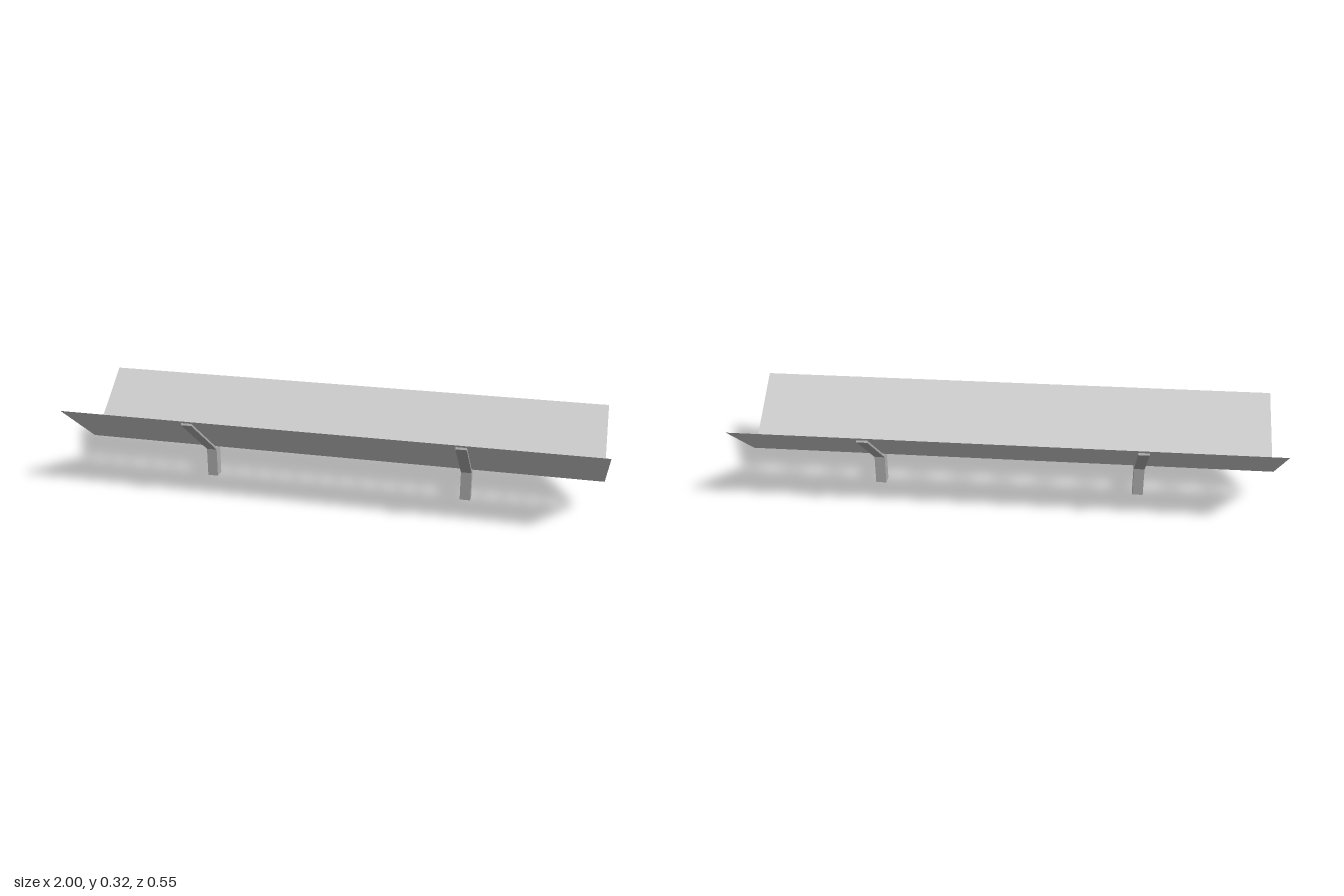
import * as THREE from 'three';

export function createModel() {
  const model = new THREE.Group();
  const panelGrey = new THREE.MeshStandardMaterial({ color: 0xd0d0d0, side: THREE.DoubleSide });
  panelGrey.name = 'panel light grey';
  const frameGrey = new THREE.MeshStandardMaterial({ color: 0xb0b0b0 });
  frameGrey.name = 'frame grey';

  const tilt = THREE.MathUtils.degToRad(38);
  const slope = 0.32; // length of an arm or panel up the slope

  function add(name, geometry, material, parent, x, y, z) {
    const mesh = new THREE.Mesh(geometry, material);
    mesh.name = name;
    mesh.position.set(x, y, z);
    parent.add(mesh);
    return mesh;
  }

  const postGeometry = new THREE.BoxGeometry(0.04, 0.117, 0.041);
  const armGeometry = new THREE.BoxGeometry(0.04, 0.008, slope);
  const panelGeometry = new THREE.PlaneGeometry(2, slope).rotateX(-Math.PI / 2);

  // Two short posts
  for (const x of [-0.5, 0.5]) {
    add(x > 0 ? 'leftPost' : 'rightPost', postGeometry, frameGrey, model, x, 0.0585, 0);
  }

  // Two tilted wings forming a V: a thin sheet held just above two arms
  for (const side of [1, -1]) {
    const wing = new THREE.Group();
    wing.name = side > 0 ? 'frontWing' : 'backWing';
    wing.position.set(0, 0.214, side * 0.144);
    wing.rotation.x = -side * tilt;
    for (const x of [-0.5, 0.5]) {
      add(x > 0 ? 'leftArm' : 'rightArm', armGeometry, frameGrey, wing, x, 0, 0);
    }
    add('panel', panelGeometry, panelGrey, wing, 0, 0.01, 0);
    model.add(wing);
  }
  return model;
}
